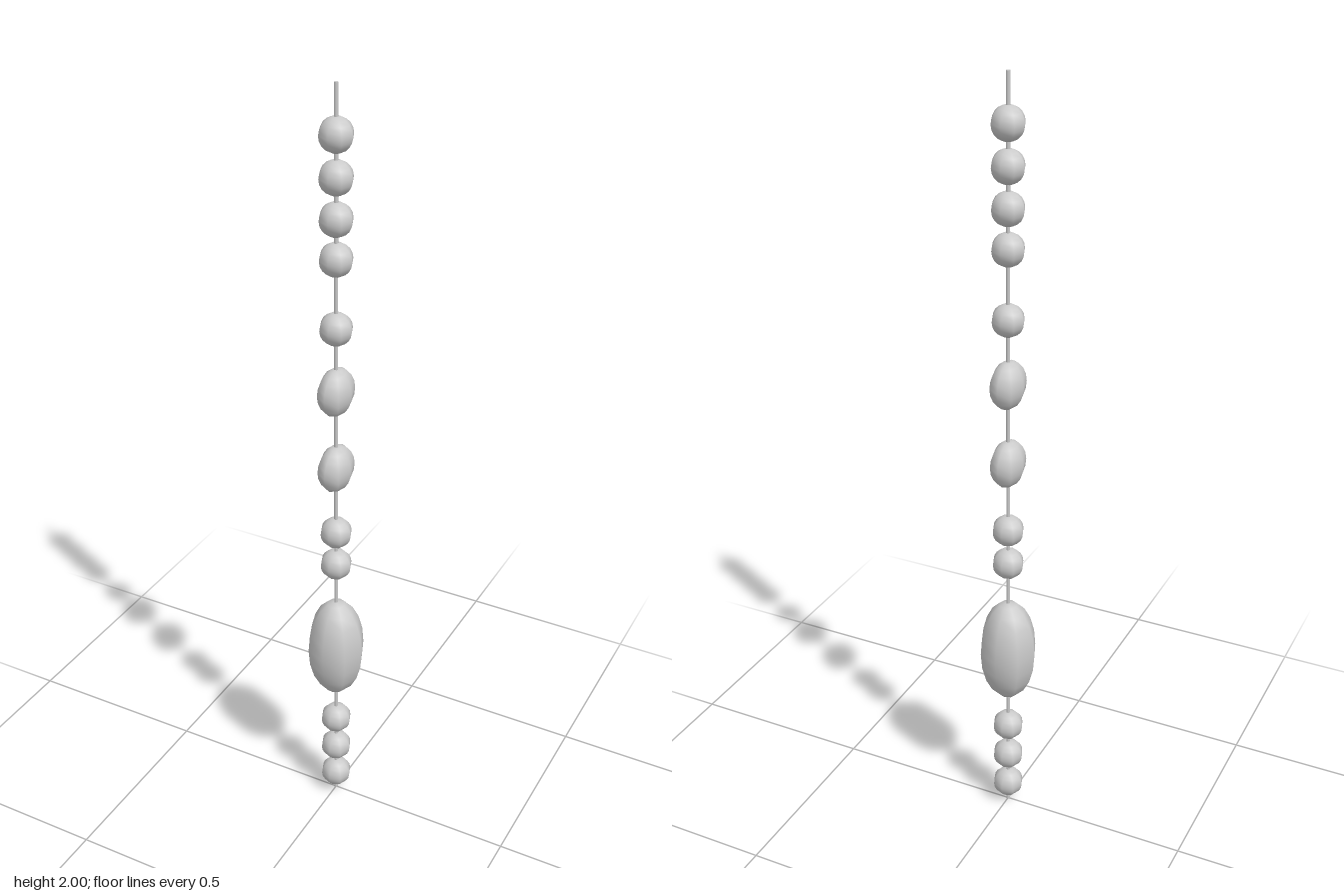
import * as THREE from 'three';

export function createModel() {
  const model = new THREE.Group();
  model.name = 'beadStrand';
  const material = new THREE.MeshStandardMaterial({ color: 0xcccccc });

  // Thin cord running through every bead
  const cord = new THREE.Mesh(new THREE.CylinderGeometry(0.005, 0.005, 2, 8), material);
  cord.name = 'cord';
  cord.position.y = 1;
  model.add(cord);

  // Eight-sided smooth bead, stretched to the given radii
  function addBead(name, y, rx, ry, rz) {
    const geometry = new THREE.SphereGeometry(1, 8, 10).scale(rx, ry, rz);
    const bead = new THREE.Mesh(geometry, material);
    bead.name = name;
    bead.position.y = y;
    model.add(bead);
  }

  // Small round beads
  const roundHeights = [0.061, 0.157, 0.254, 0.761, 0.857, 1.422, 1.595, 1.691, 1.788, 1.885];
  roundHeights.forEach((y, i) => addBead(`roundBead${i + 1}`, y, 0.041, 0.041, 0.041));

  // Flattened beads, wider front to back
  [1.046, 1.257].forEach((y, i) => addBead(`flatBead${i + 1}`, y, 0.041, 0.061, 0.061));

  // Large elongated bead
  addBead('longBead', 0.497, 0.076, 0.146, 0.076);

  return model;
}
